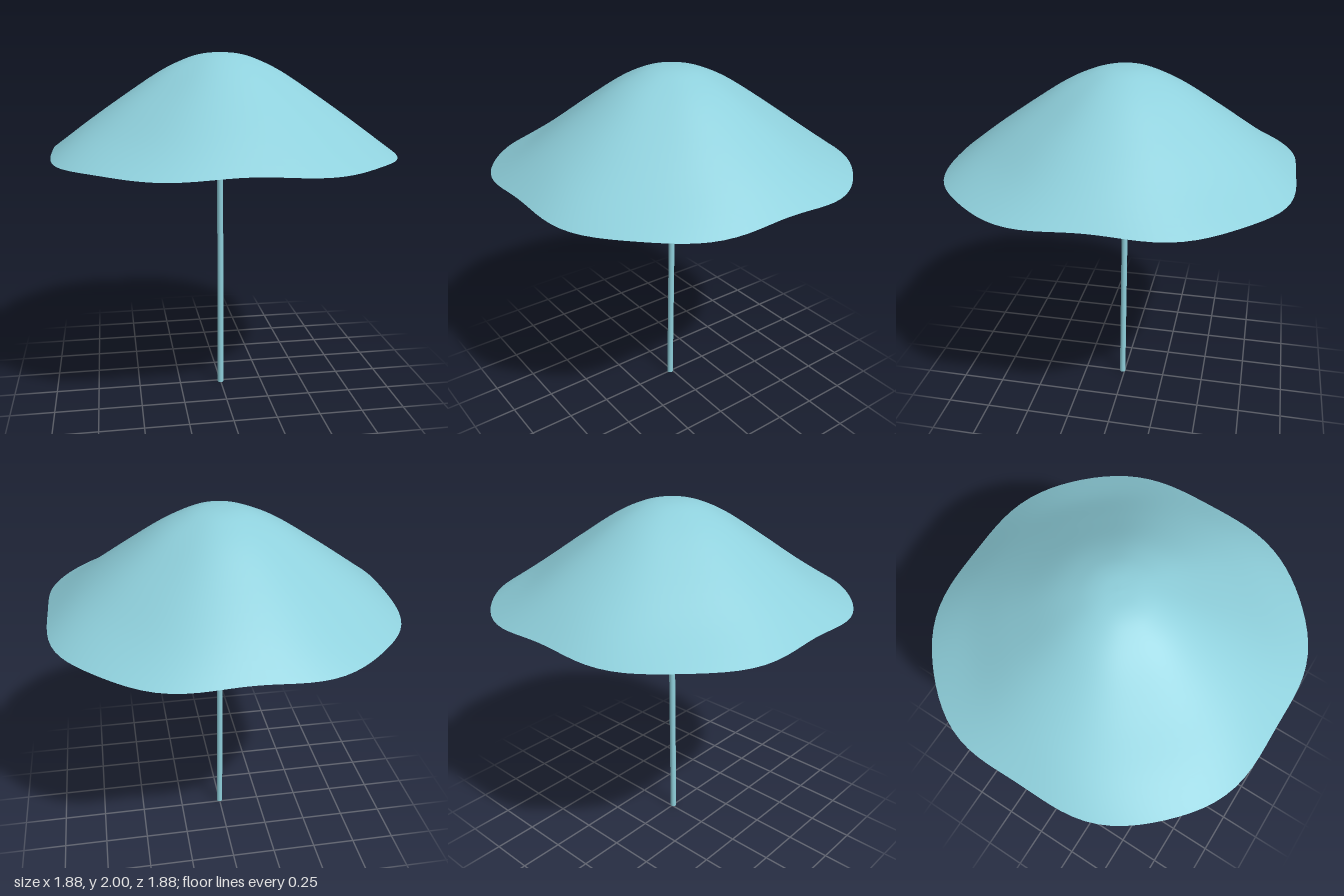
import * as THREE from 'three';

const material = new THREE.MeshStandardMaterial({ color: 0x8fd0dc, side: THREE.DoubleSide });

// Canopy sections from apex to hem, [radius, height]: towards a side and towards a corner
const spline = (points) => new THREE.SplineCurve(points.map(([r, y]) => new THREE.Vector2(r, y)));
const sideSection = spline([[0, 2], [0.1, 1.992], [0.2, 1.963], [0.34, 1.896], [0.54, 1.766], [0.75, 1.62], [0.94, 1.475]]);
const cornerSection = spline([[0, 2], [0.1, 1.992], [0.2, 1.96], [0.34, 1.885], [0.55, 1.742], [0.78, 1.582], [0.995, 1.46]]);

// Dome with four flattened sides and a gently waving hem
function canopyGeometry(rings = 32, segments = 96) {
  const positions = [0, 2, 0];
  const indices = [];
  for (let i = 1; i <= rings; i++) {
    const t = i / rings;
    const side = sideSection.getPoint(t);
    const corner = cornerSection.getPoint(t);
    for (let j = 0; j < segments; j++) {
      const a = (j / segments) * Math.PI * 2;
      const p = side.clone().lerp(corner, (1 - Math.cos(4 * a)) / 2);
      const between = (1 - Math.cos(8 * a)) / 2;
      const r = p.x + 0.022 * between * t ** 2;
      const y = p.y - 0.011 * between * t ** 3;
      positions.push(r * Math.sin(a), y, r * Math.cos(a));
    }
  }
  const at = (ring, j) => 1 + (ring - 1) * segments + (j % segments);
  for (let j = 0; j < segments; j++) {
    indices.push(0, at(1, j), at(1, j + 1));
    for (let i = 1; i < rings; i++) {
      indices.push(at(i, j), at(i + 1, j), at(i + 1, j + 1));
      indices.push(at(i, j), at(i + 1, j + 1), at(i, j + 1));
    }
  }
  const geometry = new THREE.BufferGeometry();
  geometry.setAttribute('position', new THREE.Float32BufferAttribute(positions, 3));
  geometry.setIndex(indices);
  geometry.computeVertexNormals();
  return geometry;
}

// Slim pole, leaning slightly back, ending under the canopy
function poleGeometry() {
  const height = 1.73;
  const geometry = new THREE.CylinderGeometry(0.018, 0.018, height, 16);
  geometry.translate(0, height / 2, 0);
  const pos = geometry.attributes.position;
  for (let i = 0; i < pos.count; i++) {
    pos.setZ(i, pos.getZ(i) + 0.014 - 0.013 * pos.getY(i));
  }
  return geometry;
}

export function createModel() {
  const group = new THREE.Group();
  group.name = 'parasol';
  const parts = { canopy: canopyGeometry(), pole: poleGeometry() };
  for (const [name, geometry] of Object.entries(parts)) {
    const mesh = new THREE.Mesh(geometry, material);
    mesh.name = name;
    group.add(mesh);
  }
  return group;
}
